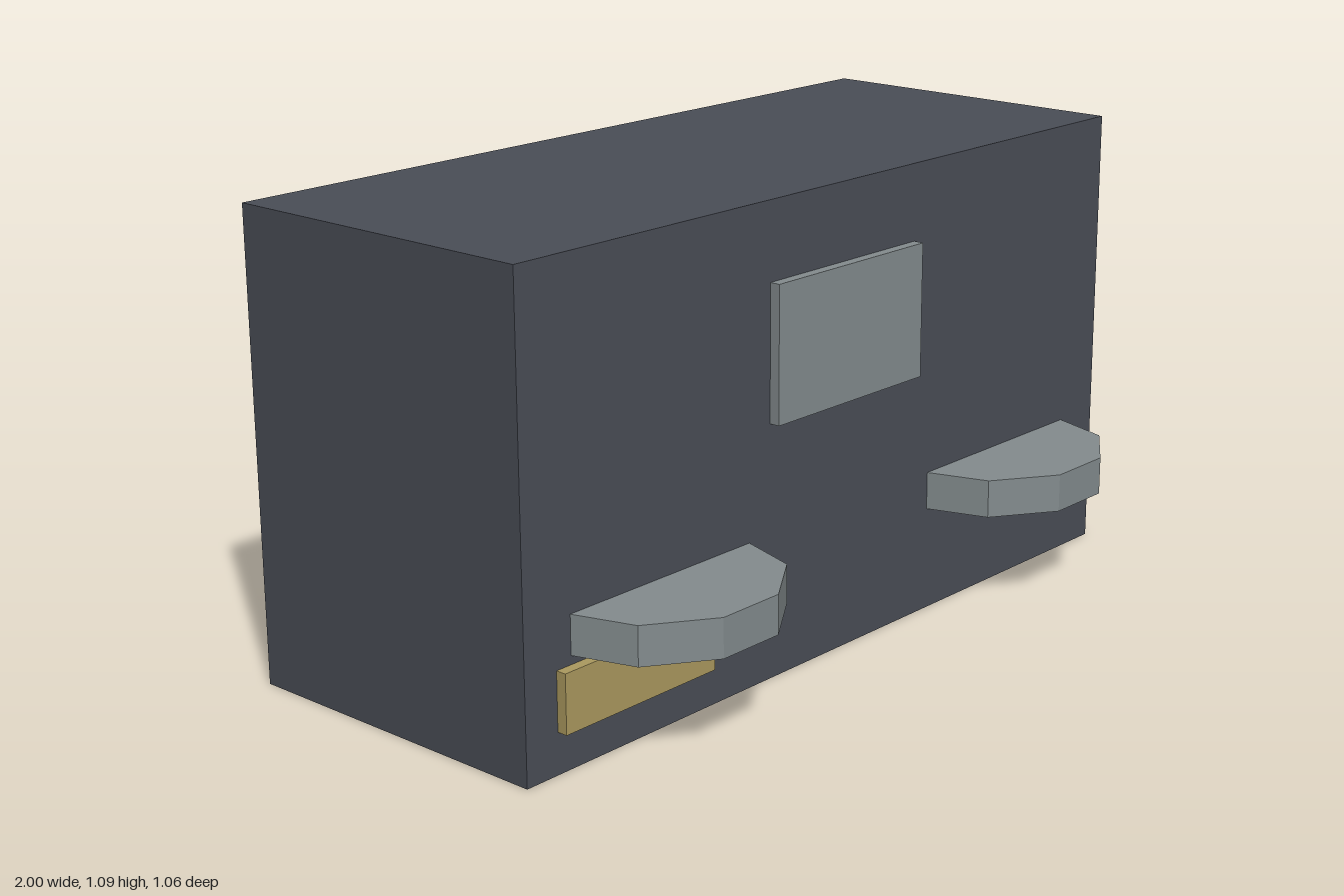
import * as THREE from 'three';

const material = (name, color) => {
  const m = new THREE.MeshStandardMaterial({ color });
  m.name = name;
  return m;
};

export function createModel() {
  const slate = material('slate', 0x4a4e57);
  const grey = material('grey', 0x848c8e);
  const ochre = material('ochre', 0xac9a5f);
  const model = new THREE.Group();
  model.name = 'wallBlock';

  const FACE = 0.285; // z of the front face

  const add = (name, geometry, mat) => {
    const mesh = new THREE.Mesh(geometry, mat);
    mesh.name = name;
    model.add(mesh);
  };

  // Box given by its limits on each axis
  const box = (name, mat, [x0, x1], [y0, y1], [z0, z1]) => {
    const g = new THREE.BoxGeometry(x1 - x0, y1 - y0, z1 - z0);
    g.translate((x0 + x1) / 2, (y0 + y1) / 2, (z0 + z1) / 2);
    add(name, g, mat);
  };

  // Main block
  box('body', slate, [-1, 1], [0, 1.09], [-0.53, FACE]);

  // Raised panels on the front
  box('upperPanel', grey, [-0.25, 0.25], [0.595, 0.91], [FACE, 0.31]);
  box('lowerPanel', ochre, [-0.91, -0.46], [0.095, 0.23], [FACE, 0.31]);

  // Faceted half-round ledges, one on each side
  const half = [[0.275, FACE], [0.23, 0.43], [0.085, 0.53]];
  const outline = [
    ...half.map(([x, z]) => new THREE.Vector2(x, z)),
    ...half.slice().reverse().map(([x, z]) => new THREE.Vector2(-x, z)),
  ];
  for (const [name, side] of [['leftLedge', 1], ['rightLedge', -1]]) {
    const g = new THREE.ExtrudeGeometry(new THREE.Shape(outline), { depth: 0.09, bevelEnabled: false });
    g.rotateX(Math.PI / 2);
    g.translate(side * 0.593, 0.34, 0);
    add(name, g, grey);
  }

  return model;
}
